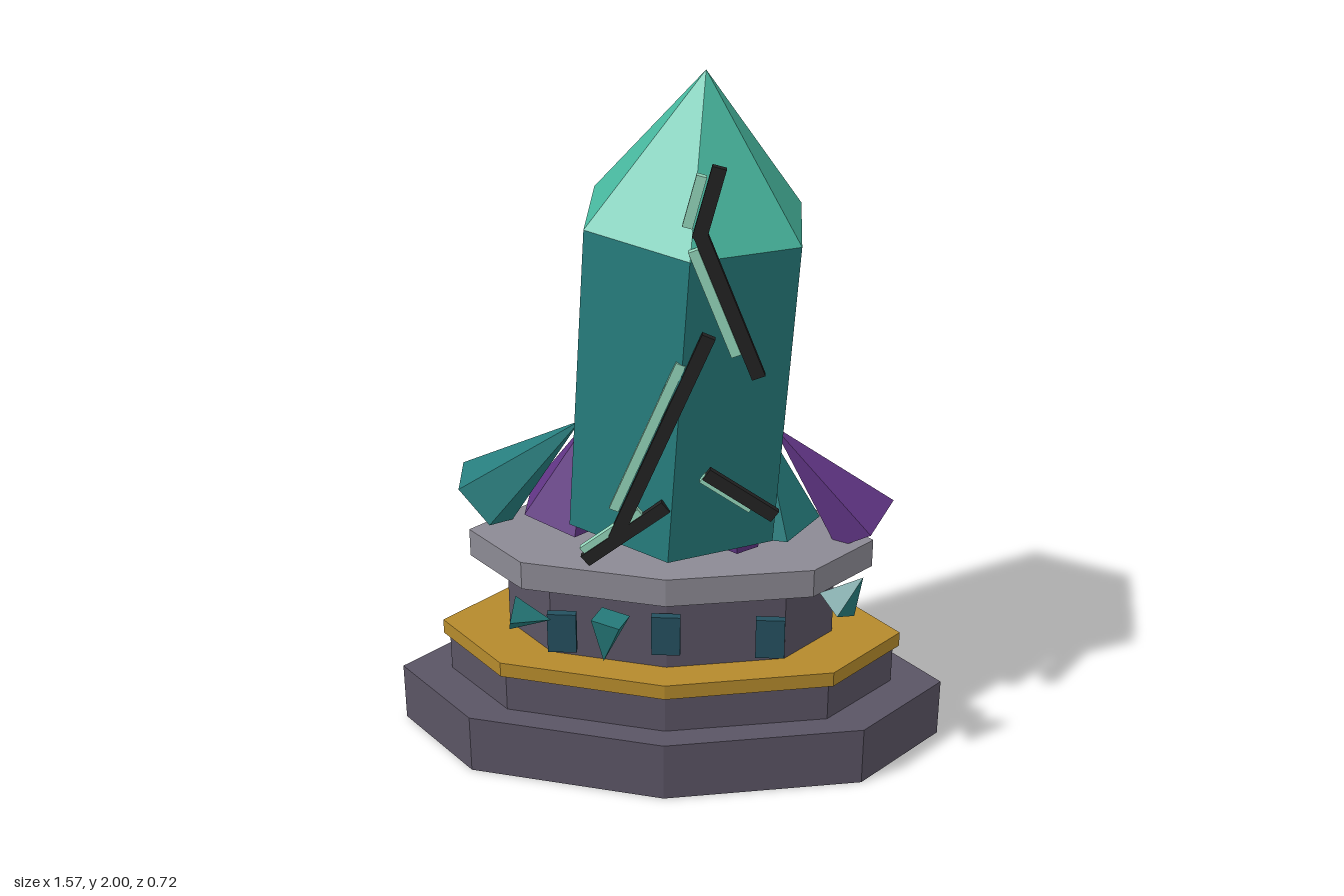
import * as THREE from 'three';

const mat = (name, color) => {
  const m = new THREE.MeshStandardMaterial({ color });
  m.name = name;
  return m;
};

export function createModel() {
  const root = new THREE.Group();
  root.name = 'crystalMonument';
  const stone = mat('darkStone', 0x5a5464);
  const slab = mat('paleStone', 0x8c8a94);
  const gold = mat('gold', 0xb58a2c);
  const teal = mat('teal', 0x267c7c);
  const mint = mat('brightTeal', 0x48b89f);
  const purple = mat('purple', 0x613585);
  const glass = mat('windowBlue', 0x24505f);
  const black = mat('crackBlack', 0x222222);
  const pale = mat('crackGlow', 0x93d5ba);
  const Z = -0.013; // depth centre of the pedestal

  // Faceted mesh: split the corners so every face keeps its own normal
  const add = (name, geo, material, x = 0, y = 0, z = 0, parent = root) => {
    const flat = geo.index ? geo.toNonIndexed() : geo;
    flat.computeVertexNormals();
    const mesh = new THREE.Mesh(flat, material);
    mesh.name = name;
    mesh.position.set(x, y, z);
    parent.add(mesh);
    return mesh;
  };

  // Stretched octagonal pedestal tiers: bottom, top, half width, half depth
  const tiers = [
    ['baseTier', 0, 0.18, 0.787, 0.355, stone],
    ['lowerTier', 0.18, 0.3, 0.642, 0.285, stone],
    ['goldBand', 0.3, 0.345, 0.66, 0.304, gold],
    ['windowTier', 0.345, 0.565, 0.465, 0.212, stone],
    ['capSlab', 0.565, 0.65, 0.57, 0.245, slab],
  ];
  for (const [name, y0, y1, rx, rz, m] of tiers) {
    const g = new THREE.CylinderGeometry(1, 1, y1 - y0, 8).scale(rx, 1, rz);
    add(name, g, m, 0, (y0 + y1) / 2, Z);
  }

  // Windows
  for (const x of [-0.287, 0, 0.287]) {
    add('window', new THREE.BoxGeometry(0.08, 0.122, 0.022), glass, x, 0.467, 0.219);
  }

  // Leaning hexagonal crystal with a bright point
  const crystal = new THREE.Group();
  crystal.name = 'mainCrystal';
  crystal.position.set(0.01, 0.75, Z);
  crystal.rotation.z = -0.064;
  root.add(crystal);
  add('crystalShaft', new THREE.CylinderGeometry(0.32, 0.32, 0.86, 6), teal, 0, 0.43, 0, crystal);
  add('crystalPoint', new THREE.ConeGeometry(0.32, 0.392, 6), mint, 0, 1.056, 0, crystal);

  // Pointed crystal from the centre of its base to its tip
  const spike = (name, base, tip, r, sides, m, turn = 0) => {
    const a = new THREE.Vector3(...base);
    const dir = new THREE.Vector3(...tip).sub(a);
    const len = dir.length();
    const g = new THREE.ConeGeometry(r, len, sides).rotateY(turn).translate(0, len / 2, 0);
    const mesh = add(name, g, m, ...base);
    mesh.quaternion.setFromUnitVectors(new THREE.Vector3(0, 1, 0), dir.normalize());
  };

  // Crystals fanning out around the foot
  spike('leftOuterCrystal', [0.54, 0.69, -0.06], [0.28, 0.99, -0.04], 0.11, 5, purple, 0.2);
  spike('rightOuterCrystal', [-0.53, 0.735, -0.06], [-0.25, 0.99, -0.04], 0.113, 5, teal, 0.4);
  spike('leftInnerCrystal', [0.29, 0.68, -0.06], [0.25, 1.0, -0.05], 0.13, 5, teal, 0.3);
  spike('rightInnerCrystal', [-0.3, 0.695, -0.06], [-0.22, 1.0, -0.05], 0.135, 5, purple, 0.3);

  // Short crystals holding the shaft from below
  add('centreRoot', new THREE.CylinderGeometry(0.19, 0.08, 0.125, 6), purple, 0.01, 0.712, Z);
  add('leftRoot', new THREE.CylinderGeometry(0.08, 0.06, 0.08, 5), purple, 0.19, 0.7, 0.04);
  spike('rightRoot', [-0.19, 0.73, 0.08], [-0.06, 0.69, 0.09], 0.04, 4, mint);

  // Floating shards
  spike('shard', [-0.415, 0.56, 0.275], [-0.31, 0.54, 0.275], 0.055, 4, teal);
  spike('shard', [-0.145, 0.57, 0.305], [-0.165, 0.435, 0.31], 0.058, 4, teal);
  spike('shard', [0.465, 0.59, 0.235], [0.532, 0.68, 0.24], 0.06, 4, teal);

  // Crack bars in front of the crystal: black bar and a shorter glowing one beside it
  const bar = (name, cx, cy, len, w, angle, z, m) => {
    add(name, new THREE.BoxGeometry(len, w, 0.018), m, cx, cy, z).rotation.z = angle;
  };
  const cracks = [
    [0.135, 1.855, 0.087, 1.67],
    [0.087, 1.69, 0.24, 1.3],
    [0.113, 1.41, -0.13, 0.82],
    [0.005, 0.92, -0.21, 0.75],
    [0.11, 1.02, 0.29, 0.9],
  ];
  for (const [x0, y0, x1, y1] of cracks) {
    const len = Math.hypot(x1 - x0, y1 - y0);
    const angle = Math.atan2(y1 - y0, x1 - x0);
    const cx = (x0 + x1) / 2, cy = (y0 + y1) / 2;
    bar('crack', cx, cy, len, 0.036, angle, 0.302, black);
    bar('crackGlow', cx - 0.036, cy + 0.003, len * 0.72, 0.026, angle, 0.298, pale);
  }

  return root;
}
